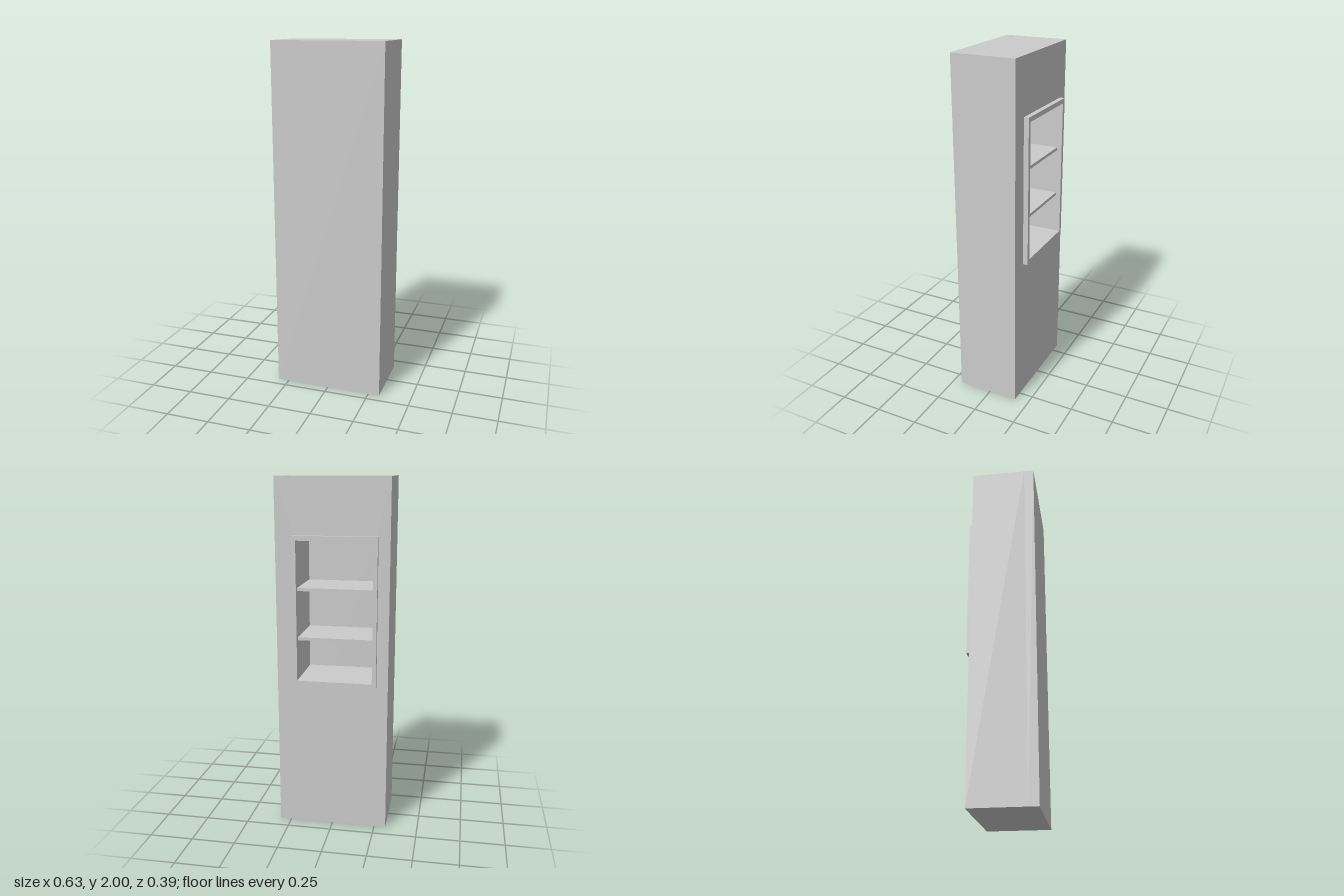
import * as THREE from 'three';

const material = new THREE.MeshStandardMaterial({ color: 0xcccccc });

// Niche opening, shared by the wall and its trim
const niche = { x0: -0.228, x1: 0.195, y0: 0.881, y1: 1.664, zFront: 0.14 };
const wall = { x0: -0.315, x1: 0.315, y0: 0, y1: 2, zBack: -0.168, zFront: 0.196 };
const trim = { x0: -0.251, x1: 0.217, y0: 0.855, y1: 1.69, zBack: -0.196 };

function add(group, name, geometry) {
  const mesh = new THREE.Mesh(geometry, material);
  mesh.name = name;
  group.add(mesh);
}

// Box given by its limits
function block(x0, x1, y0, y1, z0, z1) {
  return new THREE.BoxGeometry(x1 - x0, y1 - y0, z1 - z0)
    .translate((x0 + x1) / 2, (y0 + y1) / 2, (z0 + z1) / 2);
}

function trace(path, r) {
  path.moveTo(r.x0, r.y0);
  path.lineTo(r.x1, r.y0);
  path.lineTo(r.x1, r.y1);
  path.lineTo(r.x0, r.y1);
  path.closePath();
  return path;
}

// Rectangle with the niche cut out, extruded from z0 to z1
function piercedBlock(rect, z0, z1) {
  const shape = trace(new THREE.Shape(), rect);
  shape.holes.push(trace(new THREE.Path(), niche));
  return new THREE.ExtrudeGeometry(shape, { depth: z1 - z0, bevelEnabled: false })
    .translate(0, 0, z0);
}

export function createModel() {
  const group = new THREE.Group();
  group.name = 'wallWithShelfNiche';

  // Wall body around the niche, closed by a plain front panel
  add(group, 'wallBody', piercedBlock(wall, wall.zBack, niche.zFront));
  add(group, 'frontPanel', block(wall.x0, wall.x1, wall.y0, wall.y1, niche.zFront, wall.zFront));

  // Raised trim round the opening on the back
  add(group, 'nicheTrim', piercedBlock(trim, trim.zBack, wall.zBack));

  // Two shelves, flush with the wall face behind the trim
  [1.109, 1.387].forEach((y, i) => {
    add(group, `shelf${i + 1}`, block(niche.x0, niche.x1, y, y + 0.017, wall.zBack, niche.zFront));
  });

  return group;
}
